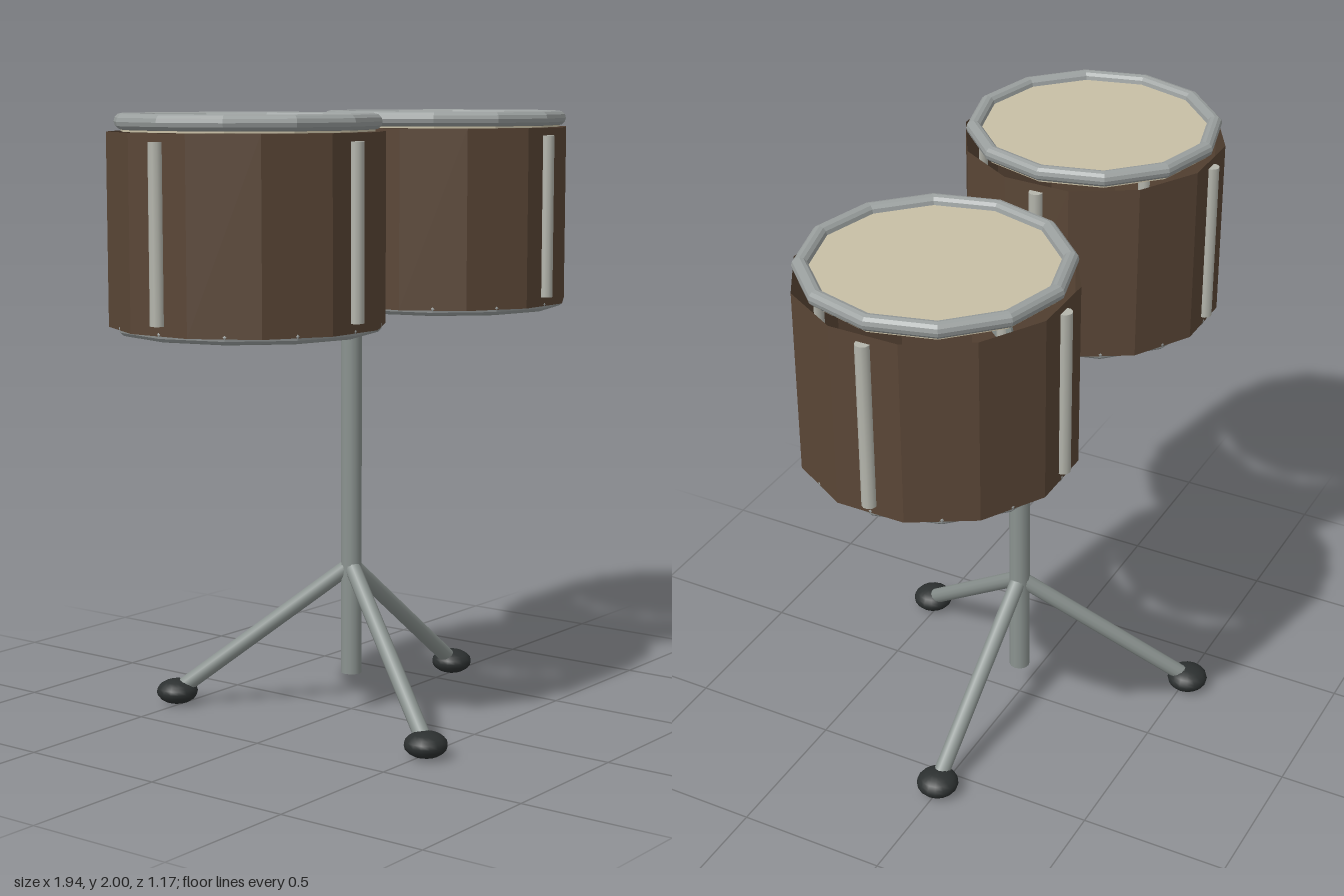
import * as THREE from 'three';

const material = (color, options = {}) => new THREE.MeshStandardMaterial({ color, ...options });

function add(parent, name, geometry, mat, x = 0, y = 0, z = 0) {
  const mesh = new THREE.Mesh(geometry, mat);
  mesh.name = name;
  mesh.position.set(x, y, z);
  parent.add(mesh);
  return mesh;
}

// Round bar running between two points
function bar(parent, name, from, to, radius, mat) {
  const direction = to.clone().sub(from);
  const geometry = new THREE.CylinderGeometry(radius, radius, direction.length(), 12);
  const mesh = add(parent, name, geometry, mat);
  mesh.position.copy(from).add(to).multiplyScalar(0.5);
  mesh.quaternion.setFromUnitVectors(new THREE.Vector3(0, 1, 0), direction.normalize());
  return mesh;
}

export function createModel() {
  const model = new THREE.Group();
  model.name = 'twinDrumsOnStand';

  const wood = material(0x5a4636, { flatShading: true, side: THREE.DoubleSide });
  const skin = material(0xc8bfa5, { flatShading: true });
  const hoopMetal = material(0x9a9f9e, { flatShading: true });
  const metal = material(0x8b9390);
  const lugMetal = material(0xb4b5ac);
  const rubber = material(0x2c3030);

  const SIDES = 12;
  const shell = new THREE.CylinderGeometry(0.43, 0.43, 0.595, SIDES, 1, true);
  shell.rotateY(Math.PI / SIDES);
  const head = new THREE.CylinderGeometry(0.395, 0.395, 0.03, SIDES);
  const hoop = new THREE.TorusGeometry(0.392, 0.025, 12, SIDES);
  hoop.rotateX(Math.PI / 2);
  const lug = new THREE.CylinderGeometry(0.023, 0.023, 0.54, 10);

  // Two matching drums, open underneath
  for (const side of [-1, 1]) {
    const drum = new THREE.Group();
    drum.name = side > 0 ? 'leftDrum' : 'rightDrum';
    drum.position.x = side * 0.529;
    model.add(drum);

    add(drum, 'shell', shell, wood, 0, 1.6475, 0);
    add(drum, 'drumHead', head, skin, 0, 1.96, 0);
    add(drum, 'topHoop', hoop, hoopMetal, 0, 1.975, 0);
    add(drum, 'bottomHoop', hoop, hoopMetal, 0, 1.355, 0);

    // Tension lugs at the four quarters
    for (let i = 0; i < 4; i++) {
      const a = (i * Math.PI) / 2;
      add(drum, 'lug', lug, lugMetal, 0.419 * Math.cos(a), 1.65, 0.419 * Math.sin(a));
    }
  }

  // Centre pole and the crossbar that carries the drums
  const v = (x, y, z) => new THREE.Vector3(x, y, z);
  bar(model, 'pole', v(0, 0.13, 0), v(0, 1.6, 0), 0.035, metal);
  bar(model, 'crossbar', v(-0.125, 1.545, 0), v(0.125, 1.545, 0), 0.037, metal);

  // Tripod legs with flattened rubber feet
  const foot = new THREE.SphereGeometry(0.07, 16, 10);
  foot.scale(1, 0.6, 1);
  for (let i = 0; i < 3; i++) {
    const a = (i * 2 * Math.PI) / 3;
    const x = 0.597 * Math.cos(a);
    const z = 0.597 * Math.sin(a);
    bar(model, 'leg', v(0, 0.5, 0), v(x, 0.045, z), 0.027, metal);
    add(model, 'foot', foot, rubber, x, 0.044, z);
  }

  return model;
}
